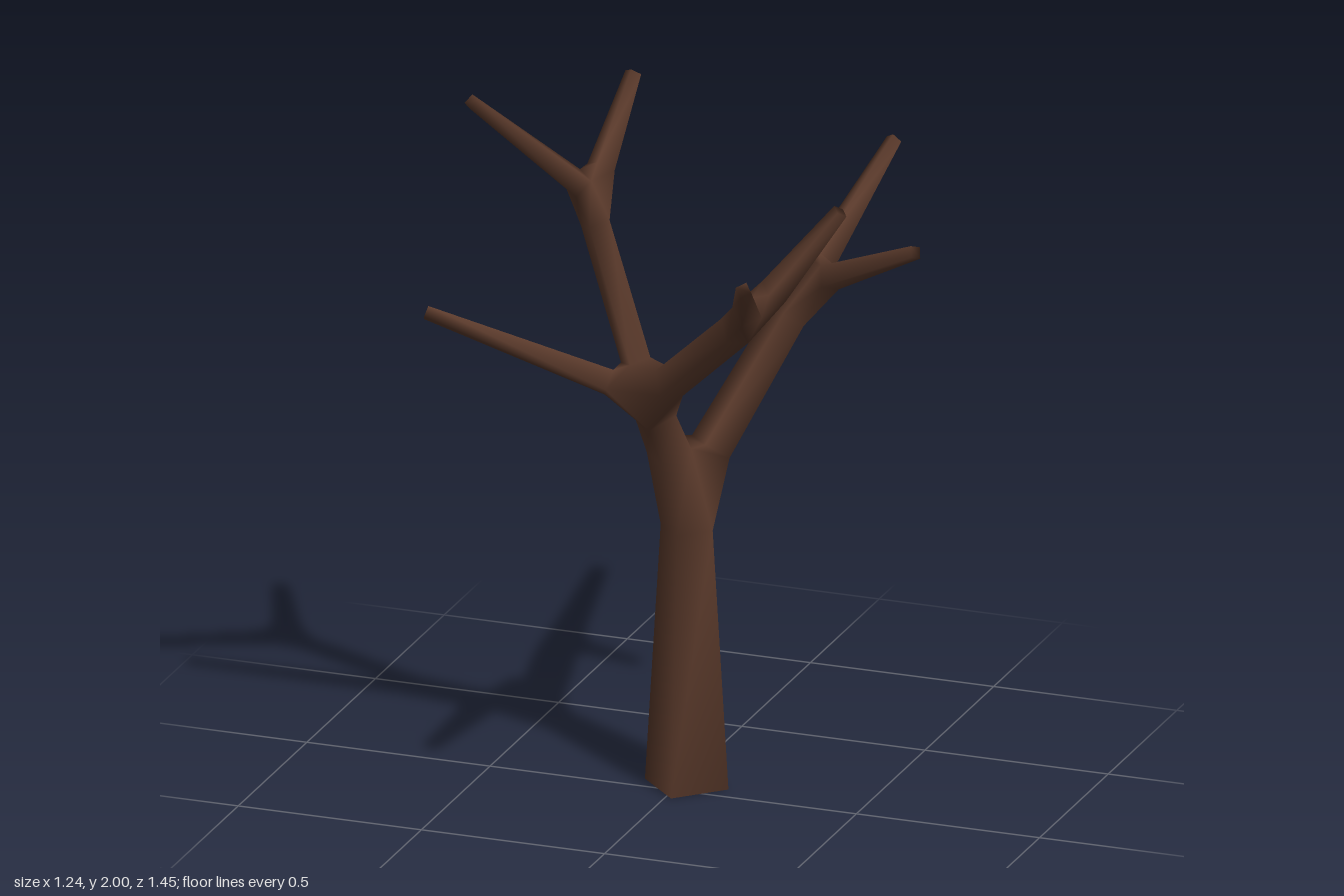
import * as THREE from 'three';
import { ConvexGeometry } from 'three/addons/geometries/ConvexGeometry.js';
import { mergeVertices } from 'three/addons/utils/BufferGeometryUtils.js';

const UP = new THREE.Vector3(0, 1, 0);

// Each limb: start, start radius, end, end radius (square section, radius to its corners)
const LIMBS = {
  trunk: [[0.017, 0, -0.053], 0.114, [0.017, 0.7, -0.053], 0.071],
  stub: [[-0.015, 0.92, -0.01], 0.063, [-0.038, 1.02, 0.025], 0.058],
  backLimb: [[0.065, 0.91, -0.1], 0.058, [0.215, 1.23, -0.258], 0.05],
  sideTwig: [[-0.15, 1.115, 0.066], 0.04, [-0.617, 1.275, 0.154], 0.021],
  tallLimb: [[-0.083, 1.18, 0.052], 0.042, [-0.193, 1.54, 0.053], 0.041],
  frontLimb: [[0.02, 1.14, 0.085], 0.048, [0.25, 1.36, 0.218], 0.047],
  tallFrontTwig: [[-0.222, 1.66, 0.1], 0.04, [-0.38, 1.985, 0.456], 0.021],
  tallBackTwig: [[-0.195, 1.675, 0.005], 0.038, [-0.168, 1.88, -0.158], 0.022],
  frontSideTwig: [[0.365, 1.49, 0.24], 0.04, [0.535, 1.72, 0.21], 0.021],
  frontTwig: [[0.327, 1.46, 0.335], 0.04, [0.46, 1.67, 0.715], 0.021],
  backSideTwig: [[0.325, 1.345, -0.272], 0.04, [0.608, 1.495, -0.143], 0.021],
  backTwig: [[0.262, 1.345, -0.375], 0.042, [0.335, 1.57, -0.715], 0.021],
};

// Each fork: the limb coming in, then the limbs going out
const FORKS = [
  ['trunk', 'stub', 'backLimb'],
  ['stub', 'sideTwig', 'tallLimb', 'frontLimb'],
  ['tallLimb', 'tallFrontTwig', 'tallBackTwig'],
  ['frontLimb', 'frontSideTwig', 'frontTwig'],
  ['backLimb', 'backSideTwig', 'backTwig'],
];

// Four corners of a limb section, square to its direction
function ring(center, radius, turn) {
  return [0, 1, 2, 3].map((k) => {
    const a = (k * Math.PI) / 2;
    return new THREE.Vector3(Math.cos(a) * radius, 0, Math.sin(a) * radius)
      .applyQuaternion(turn)
      .add(center);
  });
}

export function createModel() {
  const bark = new THREE.MeshStandardMaterial({ color: 0x5c3b2c });
  bark.name = 'barkBrown';
  const positions = [];
  const face = (...pts) => pts.forEach((p) => positions.push(p.x, p.y, p.z));
  const incoming = FORKS.map((f) => f[0]);

  // Tapered four-sided limbs
  const rings = {};
  for (const [name, [a, ra, b, rb]] of Object.entries(LIMBS)) {
    const start = new THREE.Vector3(...a);
    const end = new THREE.Vector3(...b);
    const dir = end.clone().sub(start).normalize();
    const turn = new THREE.Quaternion().setFromUnitVectors(UP, dir);
    const s = ring(start, ra, turn);
    const e = ring(end, rb, turn);
    rings[name] = { s, e };
    for (let k = 0; k < 4; k++) {
      const n = (k + 1) % 4;
      face(s[k], e[k], s[n]);
      face(s[n], e[k], e[n]);
    }
    // Close the foot of the trunk and the twig tips
    if (name === 'trunk') {
      face(s[0], s[1], s[2]);
      face(s[0], s[2], s[3]);
    }
    if (!incoming.includes(name)) {
      face(e[0], e[3], e[2]);
      face(e[0], e[2], e[1]);
    }
  }

  // Forks: a hull around the adjoining sections, left open where limbs join
  for (const [from, ...to] of FORKS) {
    const sections = [rings[from].e, ...to.map((name) => rings[name].s)];
    const hull = new ConvexGeometry(sections.flat()).getAttribute('position');
    for (let i = 0; i < hull.count; i += 3) {
      const tri = [0, 1, 2].map((j) => new THREE.Vector3().fromBufferAttribute(hull, i + j));
      const isOpening = sections.some((sec) =>
        tri.every((p) => sec.some((q) => q.distanceTo(p) < 1e-5)));
      if (!isOpening) face(...tri);
    }
  }

  // Weld the skin so that the shading is smooth
  const skin = new THREE.BufferGeometry();
  skin.setAttribute('position', new THREE.Float32BufferAttribute(positions, 3));
  const geometry = mergeVertices(skin, 1e-4);
  geometry.computeVertexNormals();

  const mesh = new THREE.Mesh(geometry, bark);
  mesh.name = 'trunkAndBranches';
  const group = new THREE.Group();
  group.name = 'bareTree';
  group.add(mesh);
  return group;
}
